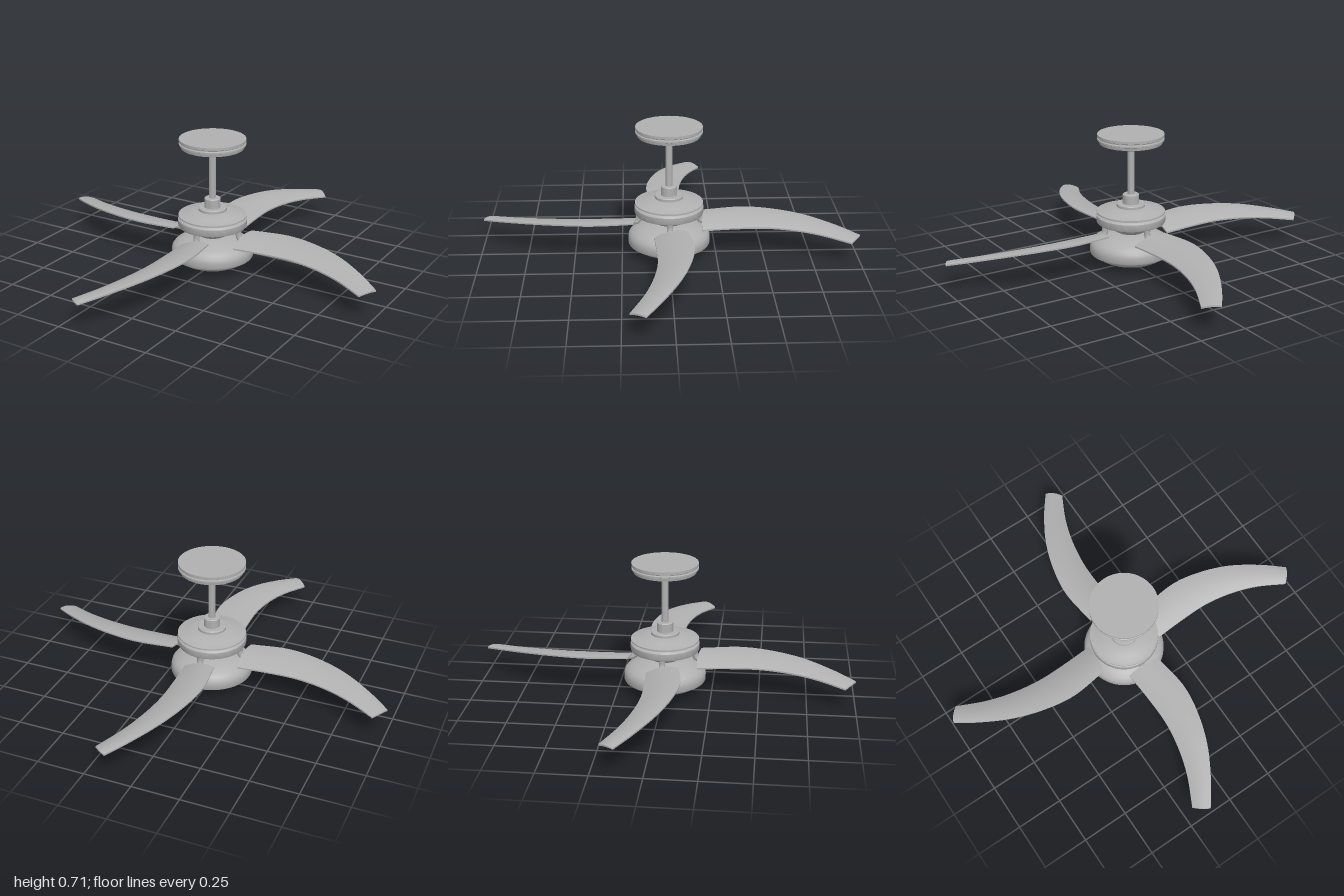
import * as THREE from 'three';
import { toCreasedNormals } from 'three/addons/utils/BufferGeometryUtils.js';

const grey = new THREE.MeshStandardMaterial({ color: 0xb0b0b0 });
grey.name = 'grey';

function part(name, geometry) {
  const mesh = new THREE.Mesh(geometry, grey);
  mesh.name = name;
  return mesh;
}

// Turned part: profile of [radius, y] from bottom to top
function turned(name, profile, segments = 56) {
  const points = profile.map(([r, y]) => new THREE.Vector2(r, y));
  return part(name, toCreasedNormals(new THREE.LatheGeometry(points, segments), 0.6));
}

const spline = (list) => new THREE.CatmullRomCurve3(list.map((p) => new THREE.Vector3(...p)));

// Swept, pitched and slightly arched blade pointing to +x
function bladeGeometry() {
  const highEdge = spline([
    [0.19, 0.203, -0.09], [0.4, 0.207, -0.115], [0.565, 0.202, -0.09],
    [0.725, 0.189, -0.035], [0.885, 0.164, 0.055], [0.997, 0.141, 0.135],
  ]);
  const lowEdge = spline([
    [0.175, 0.158, 0.083], [0.34, 0.162, 0.073], [0.5, 0.163, 0.072],
    [0.65, 0.158, 0.095], [0.79, 0.147, 0.138], [0.94, 0.129, 0.21],
  ]);
  const geometry = new THREE.BoxGeometry(1, 1, 1, 32, 1, 10);
  const pos = geometry.attributes.position;
  for (let i = 0; i < pos.count; i++) {
    const t = pos.getX(i) + 0.5;
    const s = pos.getZ(i) + 0.5;
    const p = highEdge.getPoint(t).lerp(lowEdge.getPoint(t), s);
    const arch = 4 * s * (1 - s);
    p.y += 0.014 * arch * (1 - 0.4 * t) + pos.getY(i) * 0.008;
    p.x += 0.008 * arch * (2 * t - 1); // softly rounded ends
    pos.setXYZ(i, p.x, p.y, p.z);
  }
  return toCreasedNormals(geometry, 0.7);
}

// Bent arm from the motor underside to the blade
function armGeometry() {
  const path = spline([
    [0.16, 0.235, 0], [0.16, 0.205, 0], [0.167, 0.187, 0], [0.185, 0.18, 0], [0.235, 0.18, 0], [0.285, 0.18, 0],
  ]);
  return new THREE.TubeGeometry(path, 28, 0.016, 14, false);
}

export function createModel() {
  const fan = new THREE.Group();
  fan.name = 'ceilingFan';

  fan.add(
    turned('ceilingCanopy', [
      [0, 0.64], [0.05, 0.642], [0.12, 0.652], [0.163, 0.66], [0.166, 0.675], [0.174, 0.678],
      [0.174, 0.686], [0.169, 0.689], [0.169, 0.693], [0.174, 0.696], [0.174, 0.71], [0, 0.71],
    ]),
    turned('ballJoint', [
      [0, 0.618], [0.02, 0.618], [0.032, 0.626], [0.038, 0.638], [0.038, 0.65], [0, 0.65],
    ], 32),
    turned('downRod', [[0, 0.35], [0.018, 0.35], [0.018, 0.63], [0, 0.63]], 24),
    turned('rodCollar', [
      [0, 0.32], [0.043, 0.32], [0.043, 0.381], [0.039, 0.385], [0, 0.385],
    ], 32),
    turned('motorFlange', [[0, 0.305], [0.075, 0.305], [0.075, 0.33], [0.071, 0.334], [0, 0.334]], 40),

    // Motor drum with a thin lip and a stepped band
    turned('motorHousing', [
      [0, 0.222], [0.14, 0.222], [0.165, 0.226], [0.178, 0.232], [0.182, 0.24], [0.182, 0.27],
      [0.177, 0.277], [0.17, 0.28], [0.17, 0.285], [0.18, 0.286], [0.18, 0.293], [0.165, 0.295],
      [0.135, 0.305], [0.1, 0.315], [0.07, 0.318], [0, 0.318],
    ]),
    turned('neck', [
      [0, 0.15], [0.07, 0.15], [0.07, 0.178], [0.085, 0.186], [0.1, 0.2], [0.11, 0.215], [0.11, 0.225], [0, 0.225],
    ], 40),

    // Lamp body and the shallow bowl beneath it
    turned('lampHousing', [
      [0, 0.063], [0.2, 0.063], [0.214, 0.064], [0.217, 0.07], [0.217, 0.1], [0.213, 0.117], [0.2, 0.134],
      [0.175, 0.15], [0.145, 0.163], [0.115, 0.172], [0.09, 0.178], [0, 0.178],
    ]),
    turned('lampBowl', [
      [0, 0], [0.05, 0.002], [0.1, 0.01], [0.14, 0.022], [0.17, 0.037], [0.188, 0.052], [0.194, 0.064],
    ]),
  );

  // Four blades with their arms
  const blade = bladeGeometry();
  const arm = armGeometry();
  const cap = new THREE.CircleGeometry(0.016, 14);
  for (let i = 0; i < 4; i++) {
    const unit = new THREE.Group();
    unit.name = 'bladeUnit';
    const armEnd = part('armEnd', cap);
    armEnd.position.set(0.285, 0.18, 0);
    armEnd.rotation.y = Math.PI / 2;
    unit.add(part('blade', blade), part('bladeArm', arm), armEnd);
    unit.rotation.y = (i * Math.PI) / 2;
    fan.add(unit);
  }
  return fan;
}
